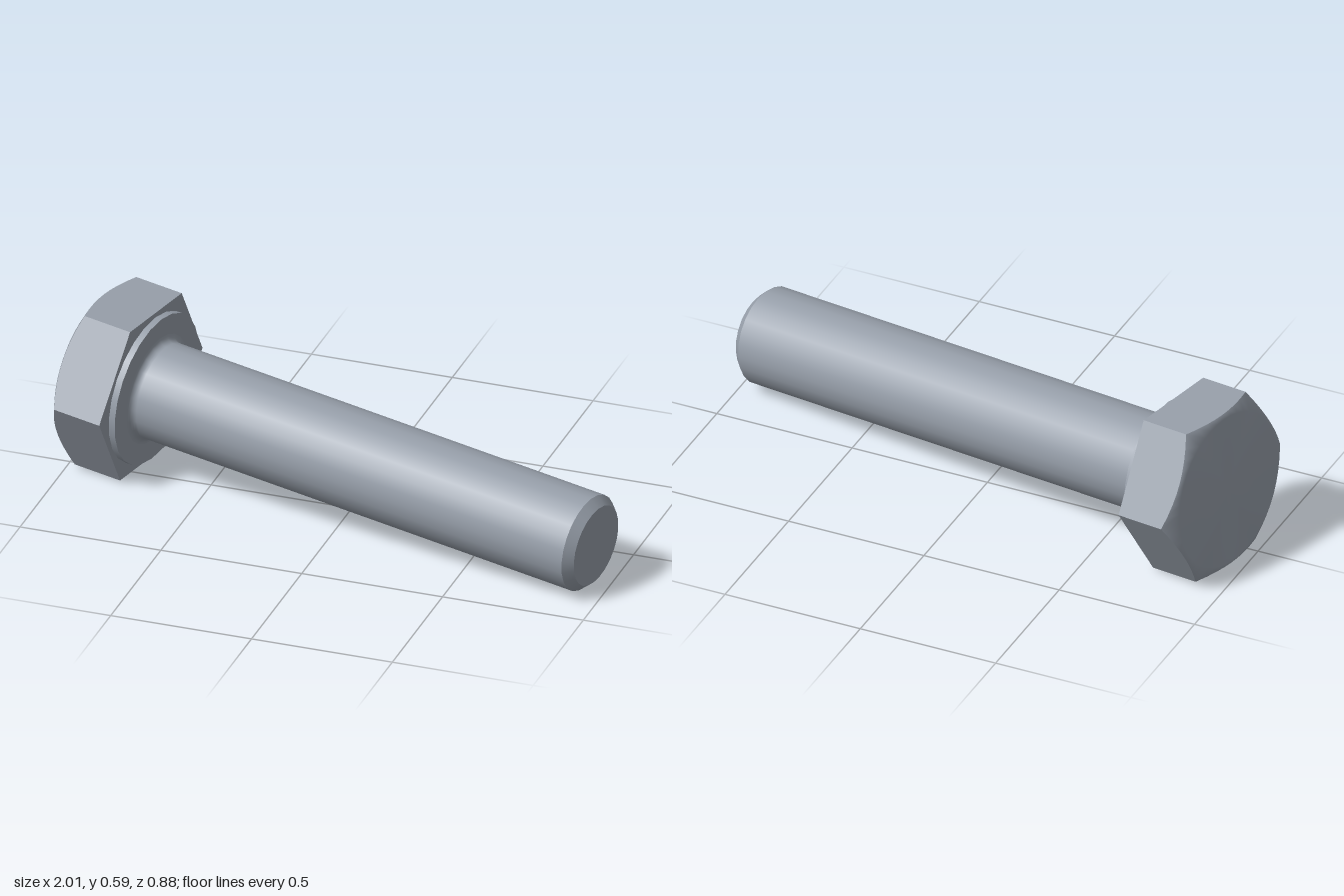
import * as THREE from 'three';

const SIDES = 24;
const SHAFT_R = 0.17, TIP_R = 0.142, CHAMFER = 0.031;
const FACE_Y = 1.728, HEX_Y = 1.751;          // washer face and hex underside, from the tip
const APOTHEM = 0.286, CROWN_R = 0.272, CROWN_H = 0.212, CROWN_SLOPE = 0.576;
const FACE_STEPS = 8;

// Hexagon radius at an angle, with corners at multiples of 60 degrees
function hexRadius(angle) {
  const sector = Math.PI / 3;
  const a = ((angle % sector) + sector) % sector;
  return APOTHEM / Math.cos(a - sector / 2);
}

// Rim of the head: the hexagon cut by the chamfer cone, giving scalloped edges
function rimPoint(i, top) {
  const angle = (i / (6 * FACE_STEPS)) * Math.PI * 2;
  const r = hexRadius(angle);
  const h = top ? CROWN_H - CROWN_SLOPE * (r - CROWN_R) : 0;
  return [r * Math.cos(angle), HEX_Y + h, r * Math.sin(angle)];
}

function geometryFrom(positions, index) {
  const g = new THREE.BufferGeometry();
  g.setAttribute('position', new THREE.Float32BufferAttribute(positions.flat(), 3));
  if (index) g.setIndex(index);
  g.computeVertexNormals();
  return g;
}

// Six flat sides and the flat underside
function hexSides() {
  const tris = [];
  const base = [0, HEX_Y, 0];
  for (let i = 0; i < 6 * FACE_STEPS; i++) {
    const a0 = rimPoint(i, false), b0 = rimPoint(i + 1, false);
    const a1 = rimPoint(i, true), b1 = rimPoint(i + 1, true);
    tris.push(a0, a1, b0, b0, a1, b1, base, a0, b0);
  }
  return geometryFrom(tris);
}

// Softly shaded crown: a flat disc blending into the chamfer
function hexCrown() {
  const n = 6 * FACE_STEPS;
  const pts = [[0, HEX_Y + CROWN_H, 0]], index = [];
  for (let i = 0; i < n; i++) {
    const a = (i / n) * Math.PI * 2;
    pts.push([CROWN_R * Math.cos(a), HEX_Y + CROWN_H, CROWN_R * Math.sin(a)]);
  }
  for (let i = 0; i < n; i++) pts.push(rimPoint(i, true));
  for (let i = 0; i < n; i++) {
    const j = (i + 1) % n;
    const a = 1 + i, b = 1 + j, c = a + n, d = b + n;
    index.push(0, b, a, a, b, c, b, d, c);
  }
  return geometryFrom(pts, index);
}

export function createModel() {
  const model = new THREE.Group();
  model.name = 'hexBolt';
  const bolt = new THREE.Group();
  bolt.name = 'tiltedBolt';
  model.add(bolt);

  const steel = new THREE.MeshStandardMaterial({ color: 0x98a0ab });
  steel.name = 'steel grey';

  const add = (name, geometry) => {
    const mesh = new THREE.Mesh(geometry, steel);
    mesh.name = name;
    bolt.add(mesh);
  };
  const lathe = (name, profile) =>
    add(name, new THREE.LatheGeometry(profile.map(([r, y]) => new THREE.Vector2(r, y)), SIDES));

  // Tip and its chamfer
  lathe('tipFace', [[0, 0], [TIP_R, 0]]);
  lathe('tipChamfer', [[TIP_R, 0], [SHAFT_R, CHAMFER]]);

  // Shaft flowing through a small fillet into the washer face
  const fillet = 0.025;
  const shaft = [[SHAFT_R, CHAMFER], [SHAFT_R, FACE_Y - 0.06]];
  for (let i = 0; i <= 5; i++) {
    const a = (i / 5) * Math.PI / 2;
    shaft.push([SHAFT_R + fillet * (1 - Math.cos(a)), FACE_Y - fillet * (1 - Math.sin(a))]);
  }
  lathe('shaft', shaft);
  lathe('washerFace', [[0.268, FACE_Y], [SHAFT_R + fillet, FACE_Y]].reverse().map(([r, y]) => [r, y]));
  // The face looks toward the tip, so wind it from the rim's underside
  const face = bolt.children[bolt.children.length - 1];
  face.geometry.dispose();
  face.geometry = new THREE.RingGeometry(SHAFT_R + fillet, 0.268, SIDES)
    .rotateX(Math.PI / 2).translate(0, FACE_Y, 0);
  lathe('washerRim', [[0.268, FACE_Y], [0.268, HEX_Y]]);

  // Hexagonal head
  add('headSides', hexSides());
  add('headCrown', hexCrown());

  // Lay the bolt down: local y runs from the tip back to the head
  const axis = new THREE.Vector3(-0.976, 0.069, -0.206).normalize();
  const side = new THREE.Vector3(0.206, 0, -0.976).normalize();
  const up = new THREE.Vector3().crossVectors(side, axis);
  bolt.quaternion.setFromRotationMatrix(new THREE.Matrix4().makeBasis(side, axis, up));
  bolt.position.set(0.967, 0.171, 0.281);
  return model;
}
